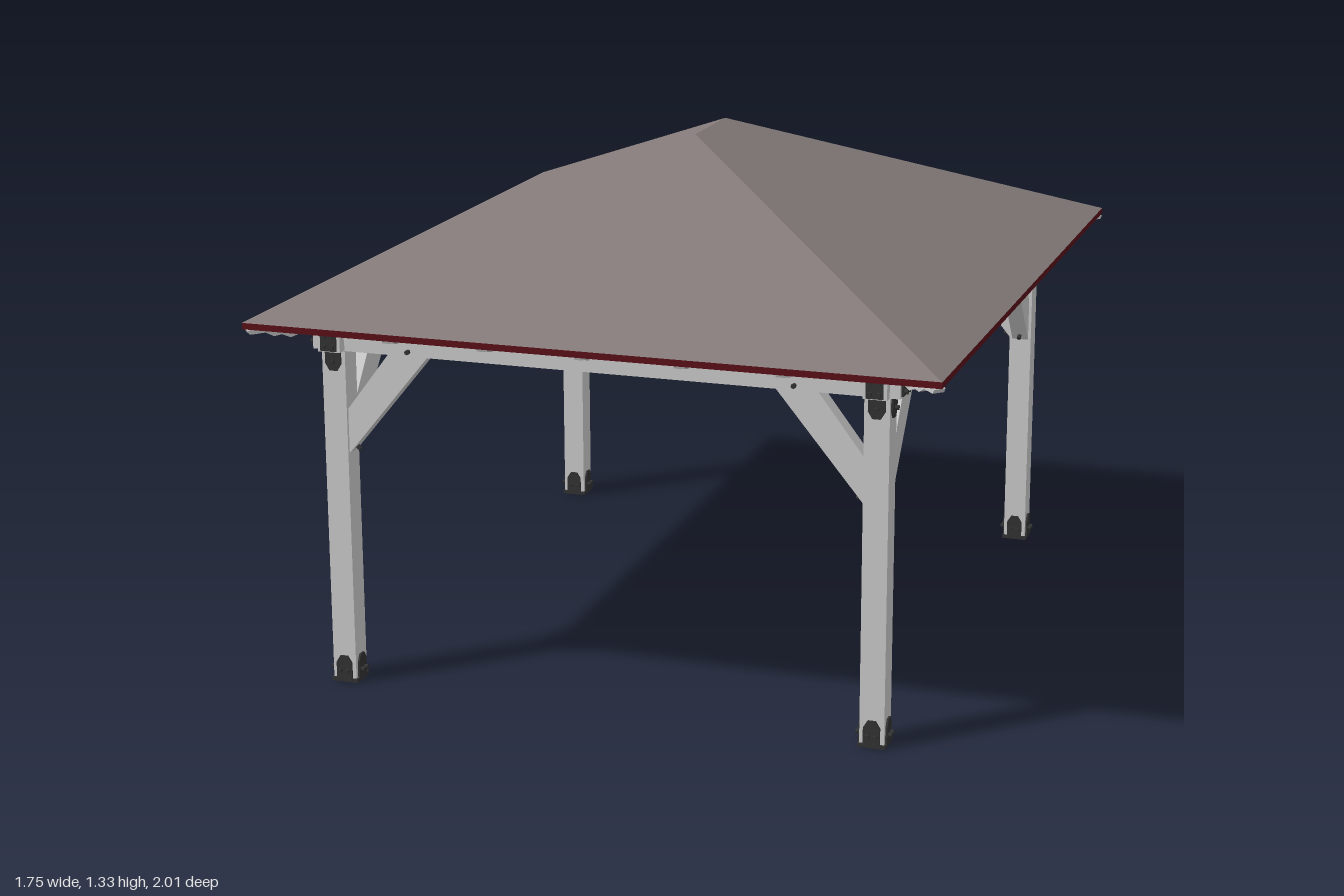
import * as THREE from 'three';

const mat = (color, side = THREE.FrontSide) =>
  new THREE.MeshStandardMaterial({ color, side, flatShading: true });
const wood = mat(0xcccccc), metal = mat(0x333333);
const shingle = mat(0x837a79), trimRed = mat(0x5a1018), lining = mat(0x5a3a1c);

// Roof sizes: half width, half length, half ridge, eave and ridge heights
const W = 0.873, L = 1.0, R = L - W, EAVE = 0.962, TOP = 1.326, THICK = 0.016;
const SLOPE = (TOP - EAVE) / W;
const soffitY = d => TOP - THICK - SLOPE * d;

// Frame sizes: post centres, post width, beam heights
const CX = -0.005, CZ = 0.012, PX = 0.693, PZ = 0.82, POST = 0.062;
const BEAM0 = 0.873, BEAM1 = 0.953, OVERHANG = 0.055;

function add(parent, name, geometry, material, x = 0, y = 0, z = 0, ry = 0) {
  const m = new THREE.Mesh(geometry, material);
  m.name = name;
  m.position.set(x, y, z);
  m.rotation.y = ry;
  parent.add(m);
  return m;
}

const box = (w, h, d) => new THREE.BoxGeometry(w, h, d);

// Extrudes an outline in the x-y plane, centred on z
function slab(points, depth) {
  const shape = new THREE.Shape(points.map(p => new THREE.Vector2(...p)));
  const g = new THREE.ExtrudeGeometry(shape, { depth, bevelEnabled: false });
  return g.translate(0, 0, -depth / 2);
}

// Four slopes of a hip roof, lowered by drop; flip makes it face down
function hipSurface(drop, flip) {
  const a = [W, EAVE - drop, L], b = [W, EAVE - drop, -L];
  const c = [-W, EAVE - drop, -L], d = [-W, EAVE - drop, L];
  const f = [0, TOP - drop, R], k = [0, TOP - drop, -R];
  const tris = [[d, a, f], [b, c, k], [a, b, k], [a, k, f], [c, d, f], [c, f, k]];
  const pos = tris.flatMap(t => (flip ? [...t].reverse() : t).flat());
  const g = new THREE.BufferGeometry();
  g.setAttribute('position', new THREE.Float32BufferAttribute(pos, 3));
  g.computeVertexNormals();
  return g;
}

// Rafter from distance d0 out to the eave, with a notched tail
function rafter(d0, width, drop = 0.001, depth = 0.055) {
  const y = d => soffitY(d) - drop;
  return slab([
    [d0, y(d0)], [d0, y(d0) - depth], [0.79, y(0.79) - depth],
    [0.806, y(0.806) - 0.043], [0.82, y(0.82) - 0.04],
    [0.835, y(0.835) - 0.022], [0.862, y(0.862) - 0.012], [0.866, y(0.866)],
  ], width);
}

// Pointed metal plate with bolts, facing outward along the given angle
function plate(parent, name, angle, dist, y0, y1, tip, bolts) {
  const g = new THREE.Group(), h = 0.021;
  g.name = name;
  g.rotation.y = angle;
  const outline = tip > 0
    ? [[-h, y0], [h, y0], [h, y1 - 0.018], [0.01, y1], [-0.01, y1], [-h, y1 - 0.018]]
    : [[-h, y0 + 0.018], [-0.01, y0], [0.01, y0], [h, y0 + 0.018], [h, y1], [-h, y1]];
  const p = add(g, 'plate', slab(outline, 0.005), metal, dist + 0.0025);
  p.rotation.y = Math.PI / 2;
  bolts.forEach(([z, y]) => bolt(g, dist + 0.008, y, z));
  parent.add(g);
}

function bolt(parent, x, y, z) {
  const b = new THREE.CylinderGeometry(0.006, 0.006, 0.012, 8).rotateZ(Math.PI / 2);
  return add(parent, 'bolt', b, metal, x, y, z);
}

function buildRoof() {
  const roof = new THREE.Group();
  roof.name = 'roof';
  add(roof, 'roofCovering', hipSurface(0, false), shingle);
  add(roof, 'roofLining', hipSurface(THICK, true), lining);
  // Thin trim around the eave
  const y = EAVE - THICK / 2, t = 0.008;
  for (const s of [-1, 1]) {
    add(roof, 'eaveTrim', box(2 * W, THICK, t), trimRed, 0, y, s * (L - t / 2));
    add(roof, 'eaveTrim', box(t, THICK, 2 * (L - t)), trimRed, s * (W - t / 2), y, 0);
  }
  return roof;
}

function buildRafters() {
  const g = new THREE.Group(), STEP = 0.2465, WIDTH = 0.021;
  g.name = 'rafters';
  // Rafters under the front and back slopes
  for (let i = -2; i <= 2; i++) {
    const x = i * STEP + CX / 2;
    for (const s of [-1, 1])
      add(g, 'endRafter', rafter(Math.abs(x), WIDTH), wood, x, 0, s * R, -s * Math.PI / 2);
  }
  // Rafters under the side slopes
  for (let i = -2.5; i <= 2.5; i++) {
    const z = i * STEP + CZ;
    for (const s of [-1, 1])
      add(g, 'sideRafter', rafter(Math.max(0, Math.abs(z) - R), WIDTH), wood,
        0, 0, z, s > 0 ? 0 : Math.PI);
  }
  // Diagonal hip rafters
  for (const sx of [-1, 1]) for (const sz of [-1, 1]) {
    const hip = add(g, 'hipRafter', rafter(0, 0.03, 0.005, 0.06), wood,
      0, 0, sz * R, Math.atan2(-sz, sx));
    hip.scale.x = Math.SQRT2;
  }
  add(g, 'ridgeBeam', box(0.025, 0.06, 2 * R), wood, 0, TOP - THICK - 0.038, 0);
  return g;
}

function buildBeams() {
  const g = new THREE.Group(), h = BEAM1 - BEAM0, y = (BEAM0 + BEAM1) / 2, w = POST - 0.003;
  g.name = 'beams';
  for (const s of [-1, 1]) {
    add(g, 'crossBeam', box(2 * (PX + OVERHANG), h, w), wood, CX, y, CZ + s * PZ);
    add(g, 'sideBeam', box(w, h - 0.002, 2 * (PZ + OVERHANG)), wood, CX + s * PX, y, CZ);
  }
  return g;
}

// Post with braces and metalwork; built around the post's own axis
function buildCorner(sx, sz) {
  const g = new THREE.Group(), half = POST / 2;
  g.name = 'cornerPost';
  g.position.set(CX + sx * PX, 0, CZ + sz * PZ);
  add(g, 'post', box(POST, 0.9, POST), wood, 0, 0.456, 0);

  const inX = sx > 0 ? Math.PI : 0, inZ = sz * Math.PI / 2;
  for (const angle of [inX, inZ]) {
    // Slanting brace toward the beam
    const arm = new THREE.Group();
    arm.name = 'brace';
    arm.rotation.y = angle;
    add(arm, 'braceTimber', slab([[half - 0.004, 0.603], [half + 0.22, BEAM0 + 0.002],
      [half + 0.115, BEAM0 + 0.002], [half - 0.004, 0.718]], 0.046), wood);
    // Bolts at the foot and head of the brace
    bolt(arm, half + 0.016, 0.618, 0).rotation.z = -0.7;
    for (const [x, y] of [[half + 0.17, 0.885], [half + 0.17, 0.92]])
      for (const s of [-1, 1])
        bolt(arm, x, y, s * (half + 0.003)).rotation.y = Math.PI / 2;
    g.add(arm);
    // Outer plates on the post head and the beam end
    const out = angle + Math.PI;
    plate(g, 'postHeadPlate', out, half, 0.822, BEAM0, -1, [[0, 0.845]]);
    plate(g, 'beamEndPlate', out, OVERHANG, BEAM0 + 0.004, 0.945, 1,
      [[-0.011, 0.888], [0.011, 0.888], [-0.011, 0.915], [0.011, 0.915]]);
  }

  // Shoe at the foot of the post
  add(g, 'shoeBase', box(0.07, 0.01, 0.07), metal, 0, 0.005, 0);
  for (let i = 0; i < 4; i++)
    plate(g, 'shoePlate', i * Math.PI / 2, half, 0.003, 0.07, 1, [[-0.01, 0.03], [0.01, 0.03]]);
  return g;
}

export function createModel() {
  const model = new THREE.Group();
  model.name = 'pavilion';
  model.add(buildRoof(), buildRafters(), buildBeams());
  for (const sx of [-1, 1]) for (const sz of [-1, 1]) model.add(buildCorner(sx, sz));
  return model;
}
